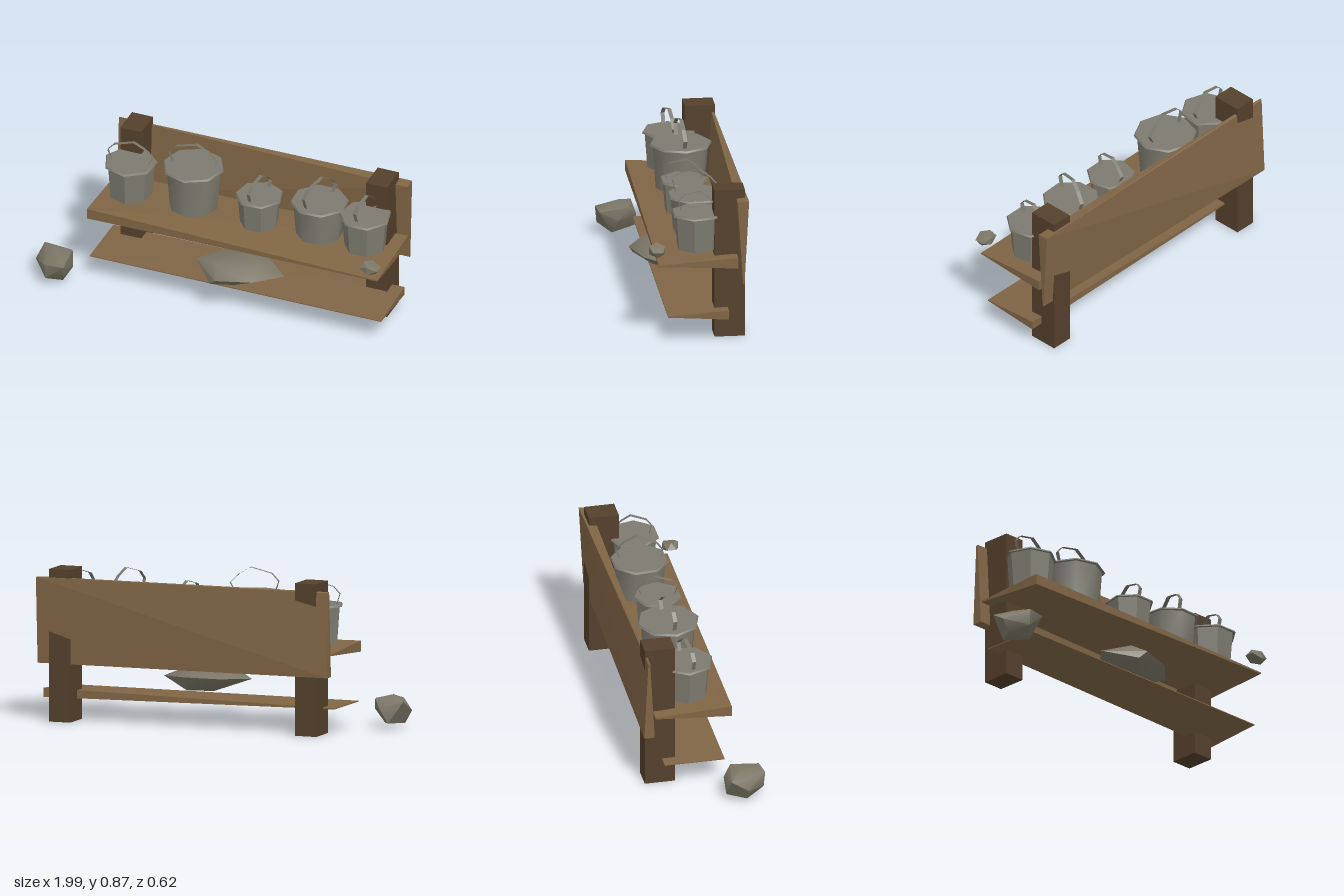
import * as THREE from 'three';
import { mergeVertices, toCreasedNormals } from 'three/addons/utils/BufferGeometryUtils.js';
import { ConvexGeometry } from 'three/addons/geometries/ConvexGeometry.js';

const material = (name, color, side = THREE.FrontSide) => {
  const m = new THREE.MeshStandardMaterial({ color, side });
  m.name = name;
  return m;
};

// Convex solid through a handful of corner points [x, y, z]
const hull = (points) => new ConvexGeometry(points.map((p) => new THREE.Vector3(...p)));

// Soft-shaded rock from its corner points
function rock(points, crease = 0.9) {
  const g = hull(points);
  g.deleteAttribute('normal');
  g.deleteAttribute('uv');
  const merged = mergeVertices(g, 1e-4);
  merged.computeVertexNormals();
  return toCreasedNormals(merged, crease);
}

// Bent flat strap following [x, y] points
function strap(points, width) {
  const pos = [];
  const index = [];
  points.forEach(([x, y], i) => {
    pos.push(x, y, -width / 2, x, y, width / 2);
    if (i) {
      const a = 2 * i - 2;
      index.push(a, a + 1, a + 2, a + 1, a + 3, a + 2);
    }
  });
  const g = new THREE.BufferGeometry();
  g.setAttribute('position', new THREE.Float32BufferAttribute(pos, 3));
  g.setIndex(index);
  const flat = g.toNonIndexed();
  flat.computeVertexNormals();
  return flat;
}

export function createModel() {
  const model = new THREE.Group();
  model.name = 'potShelf';
  const plank = material('plankWood', 0x806545);
  const dark = material('postWood', 0x54402c);
  const iron = material('potMetal', 0x7d7b70);
  const strapIron = material('handleMetal', 0x78756a, THREE.DoubleSide);
  const stone = material('stone', 0x7b7666);

  const add = (name, geometry, mat, parent = model) => {
    const mesh = new THREE.Mesh(geometry, mat);
    mesh.name = name;
    parent.add(mesh);
    return mesh;
  };

  // Two square posts
  for (const [name, x] of [['rightPost', -0.583], ['leftPost', 0.85]]) {
    add(name, new THREE.BoxGeometry(0.123, 0.83, 0.165), dark).position.set(x, 0.415, -0.212);
  }

  // Rough-hewn planks, each end tapering the opposite way
  const R = -0.715;
  const L = 0.983;
  add('backBoard', hull([
    [R, 0.79, -0.28], [R, 0.785, -0.29], [R, 0.325, -0.255], [R, 0.325, -0.312],
    [L, 0.78, -0.247], [L, 0.785, -0.309], [L, 0.315, -0.277], [L, 0.315, -0.284],
  ]), plank);
  add('potShelfPlank', hull([
    [R, 0.408, 0.17], [R, 0.468, 0.17], [R, 0.438, -0.25], [R, 0.446, -0.25],
    [L, 0.43, 0.18], [L, 0.437, 0.18], [L, 0.407, -0.25], [L, 0.467, -0.25],
  ]), plank);
  add('lowerPlank', hull([
    [R, 0.141, 0.13], [R, 0.146, 0.13], [R, 0.141, -0.2], [R, 0.146, -0.2],
    [L, 0.141, 0.13], [L, 0.146, 0.13], [L, 0.118, -0.2], [L, 0.168, -0.2],
  ]), plank);

  // Lidded pots: x, z, lid radius, lid height, sides, handle reach, handle rise, handle turn
  const pots = [
    [-0.55, -0.045, 0.148, 0.687, 7, 0.125, 0.125, 0.14],
    [-0.193, -0.07, 0.172, 0.736, 8, 0.137, 0.135, 0.09],
    [0.203, -0.042, 0.134, 0.662, 7, 0.107, 0.113, 1.37],
    [0.542, -0.07, 0.16, 0.692, 8, 0.13, 0.14, 1.23],
    [0.82, -0.045, 0.145, 0.683, 7, 0.1, 0.117, 1.35],
  ];
  const base = 0.485;
  pots.forEach(([x, z, r, top, sides, reach, rise, turn], i) => {
    const pot = new THREE.Group();
    pot.name = `pot${i + 1}`;
    pot.position.set(x, base, z);
    pot.rotation.y = turn;
    model.add(pot);

    const h = top - base - 0.008;
    const body = new THREE.CylinderGeometry(r * 0.89, r * 0.79, h, sides);
    add('potBody', toCreasedNormals(body, 0.85), iron, pot).position.y = h / 2;
    const lid = new THREE.CylinderGeometry(r * 0.96, r, 0.01, sides);
    add('potLid', toCreasedNormals(lid, 0.85), iron, pot).position.y = top - base - 0.003;

    // Bowed carrying handle, leaning slightly to one side
    const arch = [[-0.85, 0], [-1, 0.47], [-0.72, 0.78], [0.15, 1], [0.62, 0.72], [1, 0.35], [0.82, 0]];
    const handle = strap(arch.map(([u, v]) => [u * reach, v * rise]), 0.022);
    add('potHandle', handle, strapIron, pot).position.y = top - base;
  });

  // Large boulder beside the shelf
  add('boulder', rock([
    [-1, 0.1, 0.2], [-0.985, 0.155, 0.11], [-0.9, 0.185, 0.18], [-0.81, 0.165, 0.14],
    [-0.782, 0.1, 0.2], [-0.83, 0.02, 0.23], [-0.96, 0.03, 0.2], [-0.85, 0.115, 0.095],
    [-0.9, 0.035, 0.1], [-0.8, 0.145, 0.3], [-0.905, 0.15, 0.313], [-0.9, 0.06, 0.305],
  ]), stone);

  // Long flat stone resting on the lower plank
  add('flatStone', rock([
    [-0.12, 0.24, 0.07], [0.385, 0.235, 0.05], [0.06, 0.24, 0.24], [0.15, 0.31, 0.01],
    [0.02, 0.29, 0.155], [0.12, 0.155, 0.115], [0.02, 0.197, 0.215], [0.2, 0.18, -0.075],
    [0.2, 0.255, -0.115], [0.25, 0.24, 0.18], [0.24, 0.295, 0.06], [0.01, 0.25, -0.08],
  ]), stone);

  // Small jagged pebble at the shelf edge
  const pebble = new THREE.IcosahedronGeometry(1, 0);
  const p = pebble.attributes.position;
  for (let i = 0; i < p.count; i++) {
    const k = p.getX(i) * p.getY(i) > 0.1 ? 0.6 : 1.1;
    p.setXYZ(i, p.getX(i) * k * 0.058, p.getY(i) * k * 0.036, p.getZ(i) * k * 0.046);
  }
  pebble.computeVertexNormals();
  add('pebble', pebble, stone).position.set(0.94, 0.513, 0.185);

  return model;
}
